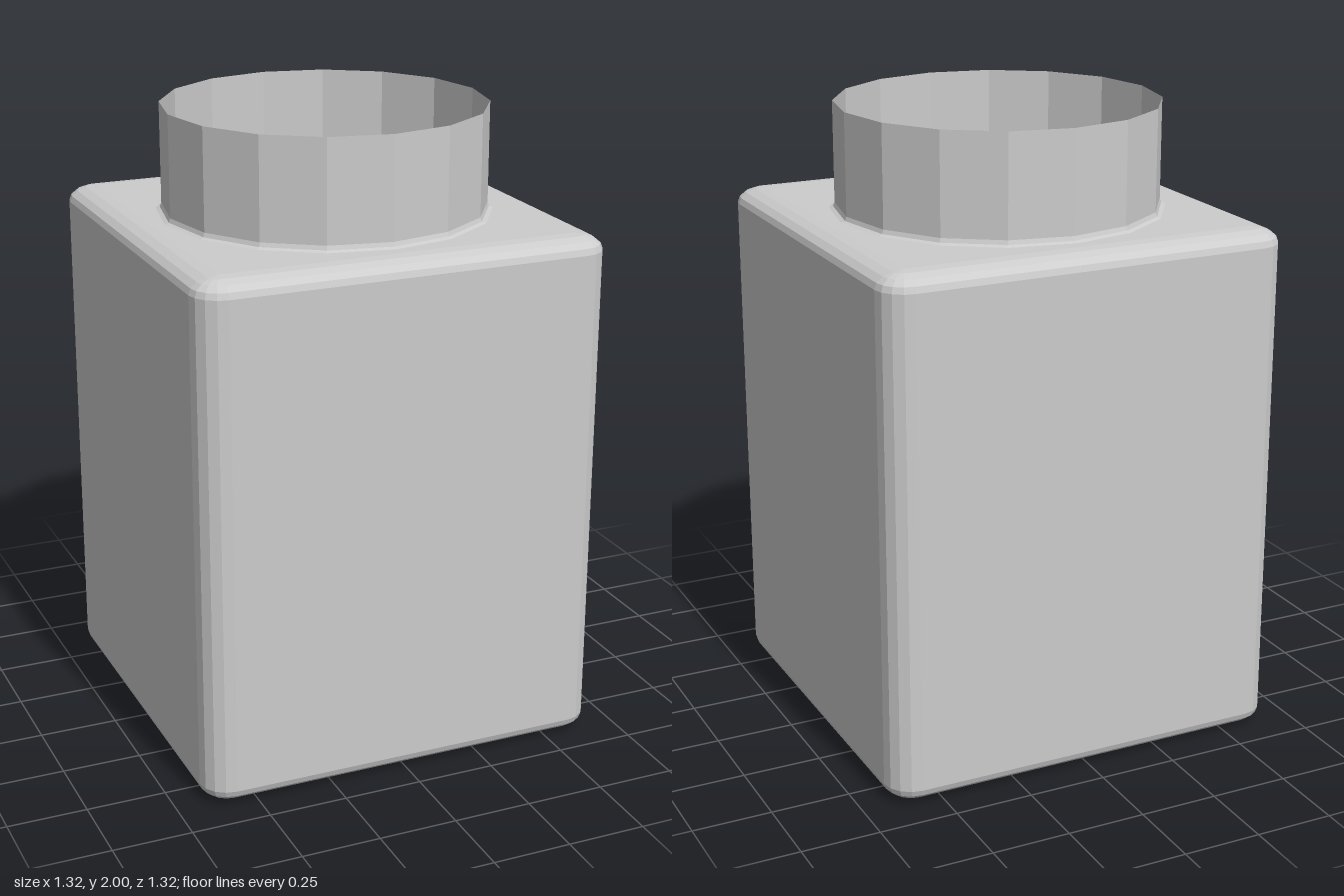
import * as THREE from 'three';

const CORE = 0.572;   // half width of the flat faces
const ROUND = 0.09;   // horizontal corner radius
const RISE = 0.05;    // vertical height of the rounded edges
const TOP = 1.66;     // height of the shoulder
const STEPS = 4;      // facets per rounded corner
const NECK = 0.514;
const HOLE = 0.532;

// Facets any geometry by giving each face its own normals
function faceted(geometry) {
  const g = geometry.index ? geometry.toNonIndexed() : geometry;
  g.computeVertexNormals();
  return g;
}

// Box walls and rounded edges, lofted through rounded-square rings
function wallGeometry() {
  const profile = [];
  for (let i = 0; i <= STEPS; i++) {
    const a = (i / STEPS) * Math.PI / 2;
    profile.push([ROUND * Math.sin(a), RISE * (1 - Math.cos(a))]);
  }
  for (let i = STEPS; i >= 0; i--) profile.push([profile[i][0], TOP - profile[i][1]]);

  const positions = [];
  for (const [r, y] of profile) {
    for (let q = 0; q < 4; q++) {
      const mid = (q + 0.5) * Math.PI / 2;
      for (let s = 0; s <= STEPS; s++) {
        const a = (q + s / STEPS) * Math.PI / 2;
        positions.push(
          Math.sign(Math.cos(mid)) * CORE + r * Math.cos(a), y,
          Math.sign(Math.sin(mid)) * CORE + r * Math.sin(a));
      }
    }
  }
  const n = 4 * (STEPS + 1);
  const index = [];
  for (let j = 0; j < profile.length - 1; j++) {
    for (let i = 0; i < n; i++) {
      const a = j * n + i, b = j * n + (i + 1) % n;
      index.push(a, a + n, b, b, a + n, b + n);
    }
  }
  const g = new THREE.BufferGeometry();
  g.setAttribute('position', new THREE.Float32BufferAttribute(positions, 3));
  g.setIndex(index);
  return faceted(g);
}

function squareShape() {
  return new THREE.Shape([[-1, -1], [1, -1], [1, 1], [-1, 1]]
    .map(([x, y]) => new THREE.Vector2(x * CORE, y * CORE)));
}

export function createModel() {
  const model = new THREE.Group();
  model.name = 'jar';
  const grey = new THREE.MeshStandardMaterial({ color: 0xcccccc });
  grey.name = 'grey';
  grey.side = THREE.DoubleSide;
  grey.flatShading = true;

  const add = (name, geometry) => {
    const mesh = new THREE.Mesh(geometry, grey);
    mesh.name = name;
    model.add(mesh);
  };

  add('walls', wallGeometry());

  // Flat floor
  add('floor', faceted(new THREE.ShapeGeometry(squareShape()).rotateX(Math.PI / 2)));

  // Shoulder with a sixteen-sided opening
  const shoulder = squareShape();
  const rim = [];
  for (let i = 0; i < 16; i++) {
    const a = -i * Math.PI / 8;
    rim.push(new THREE.Vector2(HOLE * Math.cos(a), HOLE * Math.sin(a)));
  }
  shoulder.holes.push(new THREE.Path(rim));
  add('shoulder', faceted(
    new THREE.ShapeGeometry(shoulder).rotateX(-Math.PI / 2).translate(0, TOP, 0)));

  // Open thin neck with a small flare at its base
  const neck = [[HOLE, TOP], [0.519, 1.665], [NECK, 1.678], [NECK, 2]]
    .map(([x, y]) => new THREE.Vector2(x, y));
  add('neck', faceted(new THREE.LatheGeometry(neck, 16)));

  return model;
}
